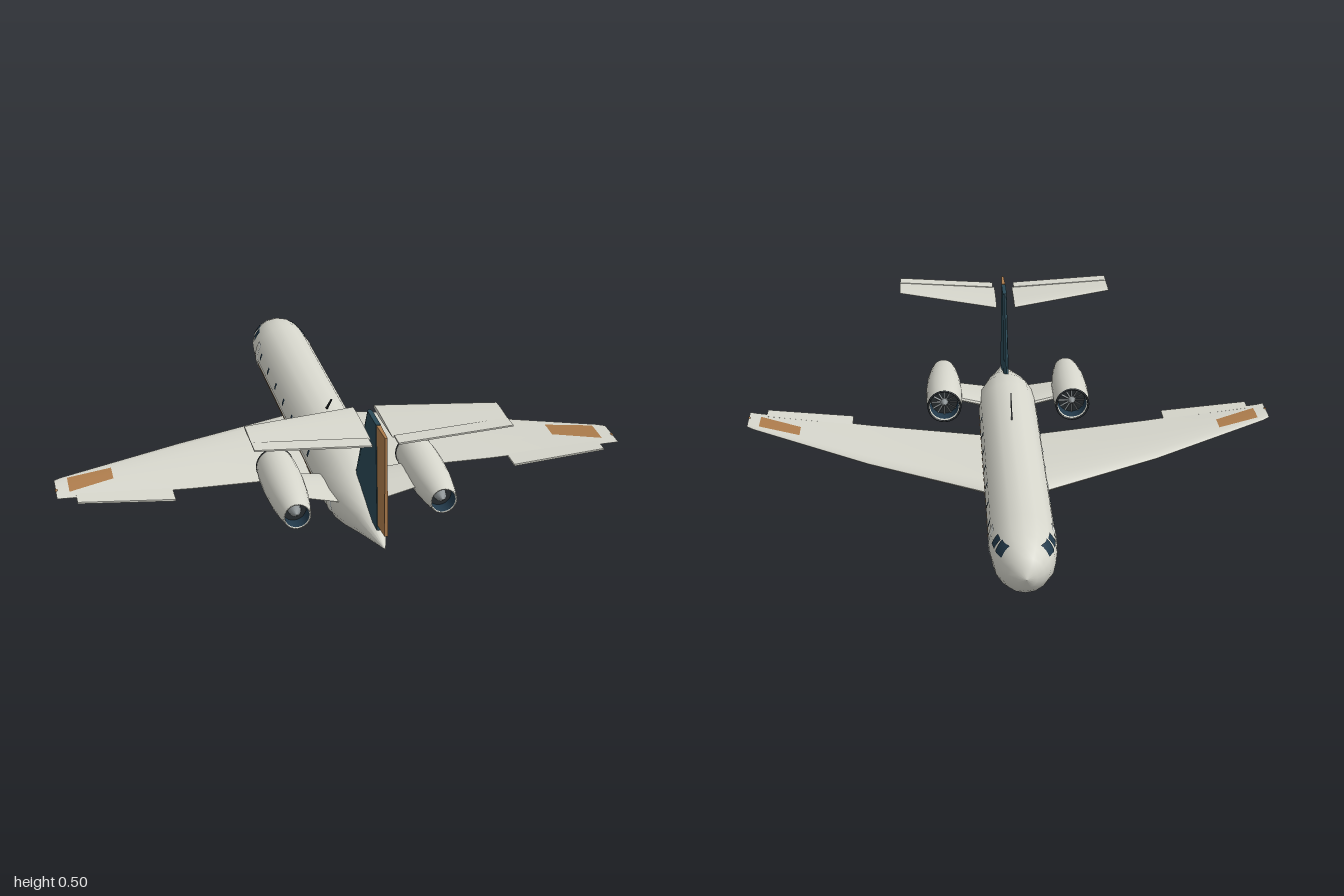
import * as THREE from 'three';
import { toCreasedNormals } from 'three/addons/utils/BufferGeometryUtils.js';

const CY = 0.117; // fuselage axis height
const mat = (color, side = THREE.FrontSide) => new THREE.MeshStandardMaterial({ color, side });
const PAINT = mat(0xd6d6cc), PAINT2 = mat(0xd6d6cc, THREE.DoubleSide);
const TEAL = mat(0x2a4956), GLASS = mat(0x22394a, THREE.DoubleSide);
const BROWN = mat(0xad7c4c, THREE.DoubleSide), DARK = mat(0x2a2f33, THREE.DoubleSide);
const TRIM = mat(0xeaf0ee, THREE.DoubleSide), METAL = mat(0x8c9294, THREE.DoubleSide);

// Fuselage radius along z
const BODY = [[-0.945, 0], [-0.932, 0.035], [-0.908, 0.06], [-0.88, 0.081], [-0.83, 0.101], [-0.76, 0.11],
  [-0.7, 0.1125], [0.45, 0.1125], [0.56, 0.106], [0.64, 0.087], [0.75, 0.053], [0.94, 0]];
// Wing stations: x, y, leading z, trailing z, thickness
const WING = [[0, 0.068, -0.245, 0.29, 0.05], [0.11, 0.073, -0.2, 0.305, 0.045], [0.53, 0.1, 0, 0.355, 0.028],
  [0.97, 0.138, 0.25, 0.405, 0.012], [0.995, 0.141, 0.27, 0.41, 0.008]];
// Half thickness along the chord
const FOIL = [[0, 0], [0.03, 0.26], [0.12, 0.44], [0.32, 0.5], [0.6, 0.36], [1, 0.03]];
const SLAB = [[0, 0.5], [1, 0.5]];

function lerpTable(table, v, col) {
  let i = 0;
  while (i < table.length - 2 && v > table[i + 1][0]) i++;
  const [a, b] = [table[i], table[i + 1]];
  return a[col] + (b[col] - a[col]) * (v - a[0]) / (b[0] - a[0]);
}

function mesh(name, geometry, material, parent) {
  const m = new THREE.Mesh(geometry, material);
  m.name = name;
  parent.add(m);
  return m;
}

// Capped skin over equal-length rings, turned outward by its signed volume
function loft(rings) {
  const n = rings[0].length, pos = rings.flat(), tris = [];
  for (let i = 0; i < rings.length - 1; i++)
    for (let j = 0; j < n; j++) {
      const a = i * n + j, b = i * n + (j + 1) % n;
      tris.push([a, b, b + n], [a, b + n, a + n]);
    }
  const last = (rings.length - 1) * n;
  for (let j = 1; j < n - 1; j++) tris.push([0, j + 1, j], [last, last + j, last + j + 1]);
  const P = i => new THREE.Vector3(...pos[i]);
  const volume = tris.reduce((s, [a, b, c]) => s + P(a).dot(P(b).cross(P(c))), 0);
  const g = new THREE.BufferGeometry();
  g.setAttribute('position', new THREE.Float32BufferAttribute(pos.flat(), 3));
  g.setIndex(tris.map(t => (volume < 0 ? [t[0], t[2], t[1]] : t)).flat());
  return toCreasedNormals(g, 0.6);
}

// Aerofoil or slab surface; s mirrors it, upright swaps span to y
function surface(stations, profile, s = 1, upright = false) {
  const outline = [...profile, ...profile.slice().reverse().map(([u, h]) => [u, -h])]
    .filter(([u, h], i) => !(u === 0 && h === 0 && i > 0));
  return loft(stations.map(([x, y, z0, z1, t]) => outline.map(([u, h]) => {
    const z = z0 + u * (z1 - z0);
    return upright ? [y + h * t, x, z] : [s * x, y + h * t, z];
  })));
}

// Small grid mapped by fn(u, v) to a point
function sheet(fn, nu, nv) {
  const g = new THREE.PlaneGeometry(1, 1, nu, nv), p = g.attributes.position;
  for (let i = 0; i < p.count; i++) p.setXYZ(i, ...fn(p.getX(i) + 0.5, p.getY(i) + 0.5));
  g.computeVertexNormals();
  return g;
}

// Panel lying on the fuselage side; rake slants its upper edge backwards
function panel(name, s, z0, z1, y0, y1, material, parent, lift = 0.001, rake = 0) {
  mesh(name, sheet((u, v) => {
    const z = z0 + (z1 - z0) * u + rake * v, dy = y0 + (y1 - y0) * v - CY;
    const r = lerpTable(BODY, z, 1) + lift;
    return [s * Math.sqrt(Math.max(0, r * r - dy * dy)), CY + dy, z];
  }, 4, 5), material, parent);
}

function lathe(points, segments = 24) {
  return new THREE.LatheGeometry(points.map(([z, r]) => new THREE.Vector2(r, z)), segments).rotateX(Math.PI / 2);
}

function engine(s) {
  const g = new THREE.Group();
  g.name = 'engine';
  g.position.set(s * 0.247, 0.167, 0);
  mesh('nacelle', lathe([[0.42, 0.052], [0.38, 0.056], [0.37, 0.062], [0.38, 0.065], [0.43, 0.069], [0.52, 0.07],
    [0.62, 0.065], [0.7, 0.055], [0.75, 0.046], [0.75, 0.041], [0.69, 0.042]]), PAINT2, g);
  mesh('intakeRim', new THREE.TorusGeometry(0.062, 0.004, 8, 24).translate(0, 0, 0.372), DARK, g);
  mesh('innerDuct', lathe([[0.38, 0.0555], [0.43, 0.051], [0.69, 0.04], [0.748, 0.0405]]), GLASS, g);
  mesh('fanDisc', new THREE.CircleGeometry(0.052, 24).translate(0, 0, 0.425), DARK, g);
  mesh('spinner', lathe([[0.385, 0], [0.4, 0.01], [0.42, 0.016]], 12), METAL, g);
  for (let i = 0; i < 12; i++) {
    const blade = new THREE.BoxGeometry(0.007, 0.036, 0.002).rotateY(0.6).translate(0, 0.032, 0.416);
    mesh('fanBlade', blade.rotateZ(i * Math.PI / 6), METAL, g);
  }
  mesh('exhaustDisc', new THREE.CircleGeometry(0.041, 24).translate(0, 0, 0.7), DARK, g);
  mesh('exhaustCone', lathe([[0.7, 0.022], [0.72, 0.018], [0.745, 0]], 12), METAL, g);
  return g;
}

export function createModel() {
  const plane = new THREE.Group();
  plane.name = 'jet';

  const body = mesh('fuselage', lathe(BODY, 16), PAINT, plane);
  body.position.y = CY;

  for (const s of [1, -1]) {
    const side = new THREE.Group();
    side.name = s > 0 ? 'leftSide' : 'rightSide';
    plane.add(side);

    // Main wing, flap, aileron and tip light
    mesh('wing', surface(WING, FOIL, s), PAINT, side);
    mesh('flap', surface([[0.6, 0.104, 0.35, 0.435, 0.007], [0.93, 0.134, 0.375, 0.44, 0.006]], SLAB, s), PAINT, side);
    mesh('aileron', sheet((u, v) => {
      const x = 0.793 + 0.157 * u;
      const z = 0.2 + 0.065 * u + v * (0.08 + 0.02 * u);
      const [y, z0, z1, t] = [1, 2, 3, 4].map(c => lerpTable(WING, x, c));
      return [s * x, y + t * lerpTable(FOIL, (z - z0) / (z1 - z0), 1) + 0.0015, z];
    }, 6, 6), BROWN, side);
    mesh('tipLight', new THREE.SphereGeometry(0.007, 10, 8).scale(0.7, 0.7, 1.4)
      .translate(s * 0.993, 0.142, 0.35), BROWN, side);

    // Tailplane and elevator
    mesh('tailplane', surface([[0.035, 0.478, 0.622, 0.868, 0.016], [0.415, 0.503, 0.74, 0.868, 0.009]], FOIL, s), PAINT, side);
    mesh('elevator', surface([[0.042, 0.479, 0.862, 0.92, 0.006], [0.415, 0.503, 0.862, 0.92, 0.005]], SLAB, s), PAINT, side);

    // Engine on its pylon
    side.add(engine(s));
    mesh('pylon', surface([[0.06, 0.138, 0.43, 0.64, 0.03], [0.195, 0.163, 0.45, 0.625, 0.026]], FOIL, s), PAINT, side);

    // Cabin details
    for (let i = 0; i < 7; i++) {
      const z = -0.605 + i * 0.1463;
      panel('cabinWindow', s, z - 0.009, z + 0.009, 0.138, 0.162, GLASS, side);
    }
    panel('cockpitSideWindow', s, -0.802, -0.76, 0.156, 0.19, GLASS, side, 0.0015);
    panel('cockpitFrontWindow', s, -0.868, -0.82, 0.158, 0.194, GLASS, side, 0.0015, 0.012);
    panel('stripe', s, -0.655, 0.44, 0.097, 0.107, BROWN, side);
    for (const [name, z0, z1, y0, y1] of [['door', -0.702, -0.66, 0.076, 0.174], ['hatch', 0.555, 0.59, 0.076, 0.125]]) {
      panel(name + 'Seam', s, z0 - 0.002, z1 + 0.002, y0 - 0.002, y1 + 0.002, METAL, side, 0.0008);
      panel(name + 'Trim', s, z0, z1, y0, y1, TRIM, side, 0.0014);
      panel(name, s, z0 + 0.004, z1 - 0.004, y0 + 0.004, y1 - 0.004, PAINT2, side, 0.002);
    }
  }

  // Fin and rudder
  mesh('fin', surface([[0.15, 0, 0.53, 0.868, 0.022], [0.225, 0, 0.56, 0.862, 0.021],
    [0.48, 0, 0.69, 0.828, 0.017], [0.505, 0, 0.705, 0.825, 0.016]],
  [[0, 0], [0.04, 0.35], [0.12, 0.5], [1, 0.5]], 1, true), TEAL, plane);
  mesh('rudder', surface([[0.168, 0, 0.871, 0.944, 0.018], [0.505, 0, 0.829, 0.925, 0.014]],
    [[0, 0.5], [1, 0.3]], 1, true), BROWN, plane);

  // Raked aerial on the roof
  mesh('aerial', surface([[0.222, 0, 0.075, 0.09, 0.005], [0.3, 0, 0.165, 0.174, 0.004]], SLAB, 1, true), DARK, plane);

  return plane;
}
